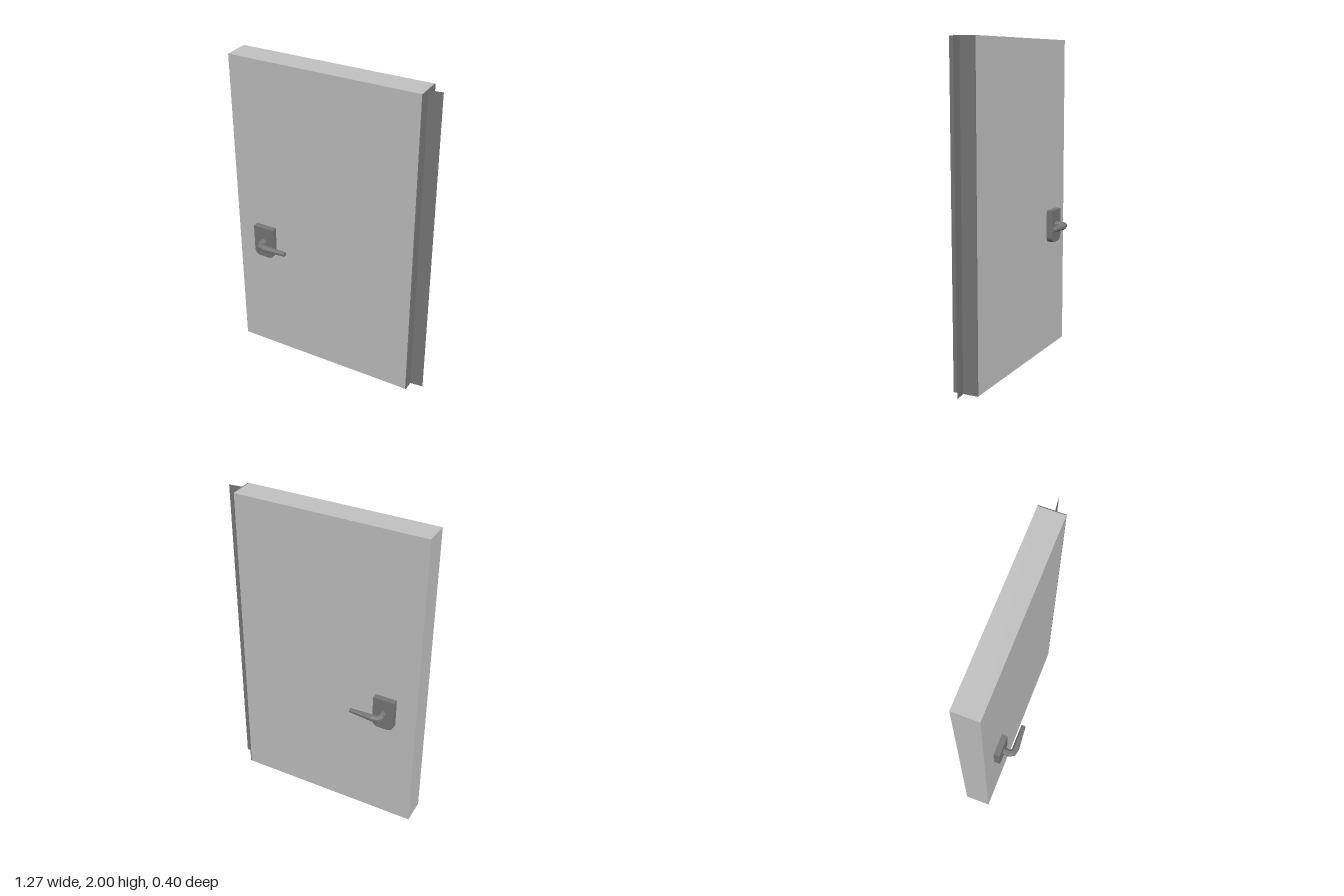
import * as THREE from 'three';

const panelGrey = new THREE.MeshStandardMaterial({ color: 0xc2c2c2 });
panelGrey.name = 'panelGrey';
const hardwareGrey = new THREE.MeshStandardMaterial({ color: 0x787878, side: THREE.DoubleSide });
hardwareGrey.name = 'hardwareGrey';

const HEIGHT = 2, WIDTH = 1.185, DEPTH = 0.158;
const HANDLE_X = -0.397, HANDLE_Y = 0.82;

function add(parent, name, geometry, material, x = 0, y = 0, z = 0) {
  const mesh = new THREE.Mesh(geometry, material);
  mesh.name = name;
  mesh.position.set(x, y, z);
  parent.add(mesh);
  return mesh;
}

// Backplate outline: square top corners, rounded bottom corners
function backplateGeometry() {
  const w = 0.068, top = 0.1, bottom = -0.11, r = 0.038;
  const s = new THREE.Shape();
  s.moveTo(-w, top);
  s.lineTo(-w, bottom + r);
  s.absarc(-w + r, bottom + r, r, Math.PI, Math.PI * 1.5, false);
  s.lineTo(w - r, bottom);
  s.absarc(w - r, bottom + r, r, Math.PI * 1.5, Math.PI * 2, false);
  s.lineTo(w, top);
  return new THREE.ExtrudeGeometry(s, { depth: 0.037, bevelEnabled: false, curveSegments: 4 });
}

// Bent, tapering eight-sided lever; dir is the side it points to
function leverGeometry(dir) {
  const sides = 8;
  // offset along the door, distance from the door face, turn towards the side, radius
  const stations = [
    [0, 0.025, 0, 0.021],
    [-0.002, 0.078, 0.1, 0.022],
    [0.012, 0.097, Math.PI / 4, 0.023],
    [0.04, 0.101, Math.PI / 2, 0.022],
    [0.188, 0.095, Math.PI / 2, 0.014],
  ];
  const up = new THREE.Vector3(0, 1, 0);
  const rings = stations.map(([x, z, turn, r]) => {
    const tangent = new THREE.Vector3(dir * Math.sin(turn), 0, Math.cos(turn));
    const across = up.clone().cross(tangent);
    return Array.from({ length: sides }, (_, j) => {
      const a = ((j + 0.5) / sides) * Math.PI * 2;
      return new THREE.Vector3(dir * x, 0, z)
        .addScaledVector(across, r * Math.cos(a))
        .addScaledVector(up, r * Math.sin(a));
    });
  });
  const points = [];
  for (let i = 0; i < rings.length - 1; i++) {
    for (let j = 0; j < sides; j++) {
      const k = (j + 1) % sides;
      const a = rings[i][j], b = rings[i][k], c = rings[i + 1][k], d = rings[i + 1][j];
      points.push(a, b, c, a, c, d);
    }
  }
  const tip = rings[rings.length - 1];
  for (let j = 1; j < sides - 1; j++) points.push(tip[0], tip[j], tip[j + 1]);
  const geometry = new THREE.BufferGeometry().setFromPoints(points);
  geometry.computeVertexNormals();
  return geometry;
}

export function createModel() {
  const model = new THREE.Group();
  model.name = 'door';

  // Door leaf, slightly ajar
  const leaf = new THREE.Group();
  leaf.name = 'doorLeaf';
  leaf.position.set(-0.035, 0, 0.036);
  leaf.rotation.y = -THREE.MathUtils.degToRad(6.24);
  model.add(leaf);
  add(leaf, 'doorPanel', new THREE.BoxGeometry(WIDTH, HEIGHT, DEPTH), panelGrey, -0.003, HEIGHT / 2);

  // Hinge strip covering the hinged edge
  add(leaf, 'hingeEdgeStrip', new THREE.BoxGeometry(0.006, HEIGHT, DEPTH), hardwareGrey, WIDTH / 2, HEIGHT / 2);

  // Matching handles on the front and the back
  for (const side of [1, -1]) {
    const handle = new THREE.Group();
    handle.name = side > 0 ? 'frontHandle' : 'backHandle';
    handle.position.set(HANDLE_X, HANDLE_Y, side * DEPTH / 2);
    handle.rotation.y = side > 0 ? 0 : Math.PI;
    leaf.add(handle);
    add(handle, 'backplate', backplateGeometry(), hardwareGrey);
    add(handle, 'lever', leverGeometry(side), hardwareGrey);
  }

  // Fixed hinge flange standing out from the hinged edge
  add(model, 'hingeFlange', new THREE.PlaneGeometry(0.08, HEIGHT), hardwareGrey, 0.597, HEIGHT / 2, 0.116);

  return model;
}
